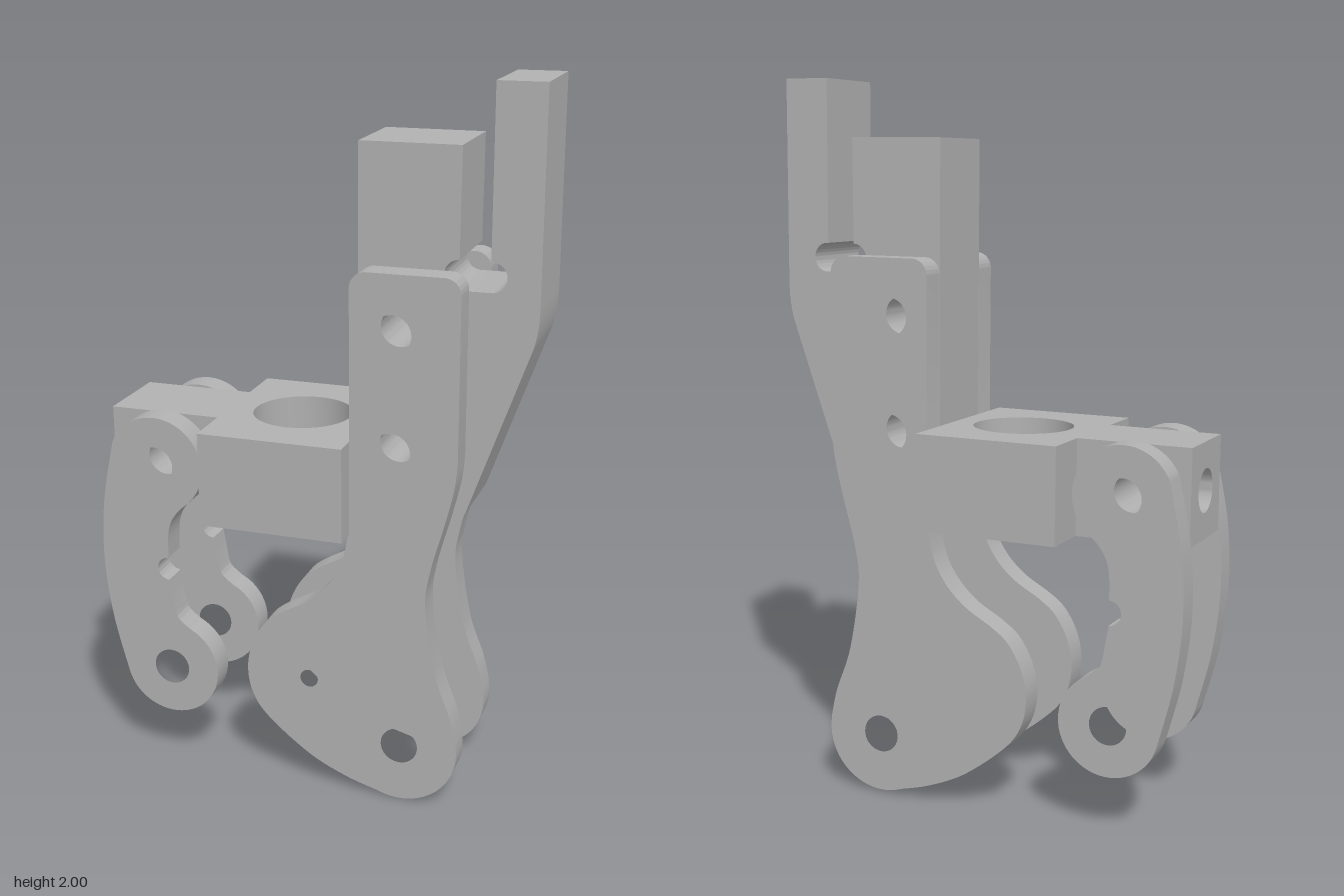
import * as THREE from 'three';
import { toCreasedNormals } from 'three/addons/utils/BufferGeometryUtils.js';

const steel = new THREE.MeshStandardMaterial({ color: 0xb0b0b0 });
steel.name = 'plain grey metal';

const INNER = 0.122; // half width of the core
const PLATE = 0.077; // side plate thickness

function addHoles(shape, holes) {
  for (const [x, y, r] of holes) {
    const path = new THREE.Path();
    path.absarc(x, y, r, 0, Math.PI * 2, true);
    shape.holes.push(path);
  }
  return shape;
}

// Extrudes a shape along z, centred on z = 0
function extrude(shape, depth) {
  const geo = new THREE.ExtrudeGeometry(shape, { depth, bevelEnabled: false, curveSegments: 20 });
  geo.translate(0, 0, -depth / 2);
  return toCreasedNormals(geo, 0.5);
}

function rect(x0, y0, x1, y1) {
  const s = new THREE.Shape();
  s.moveTo(x0, y0).lineTo(x1, y0).lineTo(x1, y1).lineTo(x0, y1).closePath();
  return s;
}

const points = (list) => list.map(([x, y]) => new THREE.Vector2(x, y));

// Long side plate: straight top, narrow waist, two-lobed foot
function plateShape() {
  const s = new THREE.Shape();
  s.moveTo(0.13, 0.82);
  s.lineTo(0.13, 1.475);
  s.absarc(0.175, 1.475, 0.045, Math.PI, Math.PI / 2, true);
  s.absarc(0.382, 1.475, 0.045, Math.PI / 2, 0, true);
  s.lineTo(0.427, 1.03);
  s.splineThru(points([[0.42, 0.96], [0.397, 0.86], [0.357, 0.71], [0.346, 0.6], [0.375, 0.41], [0.42, 0.28], [0.438, 0.2]]));
  s.absarc(0.275, 0.167, 0.165, 0.15, -1.95, true);
  s.splineThru(points([[0.12, 0.042], [0.01, 0.095], [-0.11, 0.19], [-0.16, 0.26], [-0.175, 0.34],
    [-0.16, 0.42], [-0.12, 0.49], [-0.07, 0.53], [0.01, 0.577], [0.07, 0.635], [0.11, 0.71], [0.13, 0.82]]));
  return addHoles(s, [[0.245, 1.36, 0.053], [0.245, 1.04, 0.053], [0.275, 0.17, 0.053], [0.01, 0.337, 0.026]]);
}

// Curved link with a small round notch on its inner edge
function linkShape() {
  const s = new THREE.Shape();
  s.absarc(-0.44, 0.925, 0.14, 2.7, -0.9, true);
  s.splineThru(points([[-0.376, 0.794], [-0.398, 0.76], [-0.408, 0.72], [-0.41, 0.66]]));
  s.absarc(-0.41, 0.615, 0.034, 1.57, 4.71, false);
  s.lineTo(-0.395, 0.49);
  s.splineThru(points([[-0.385, 0.462], [-0.35, 0.433]]));
  s.absarc(-0.413, 0.305, 0.143, 1.1, -2.9, true);
  s.splineThru(points([[-0.593, 0.44], [-0.613, 0.62], [-0.604, 0.8], [-0.567, 0.985]]));
  return addHoles(s, [[-0.44, 0.925, 0.053], [-0.413, 0.305, 0.053]]);
}

// Core bar with a rounded slot and a raised rear tongue
function coreShape() {
  const s = new THREE.Shape();
  s.moveTo(0.13, 0.86);
  s.lineTo(0.43, 0.86);
  s.lineTo(0.594, 1.32);
  s.quadraticCurveTo(0.612, 1.37, 0.612, 1.44);
  s.lineTo(0.612, 2);
  s.lineTo(0.482, 2);
  s.lineTo(0.482, 1.55);
  s.absarc(0.485, 1.51, 0.04, Math.PI / 2, -Math.PI / 2, true);
  s.lineTo(0.4, 1.47);
  s.absarc(0.4, 1.51, 0.04, -Math.PI / 2, -Math.PI * 1.5, true);
  s.lineTo(0.402, 1.84);
  s.lineTo(0.13, 1.84);
  s.closePath();
  return addHoles(s, [[0.245, 1.36, 0.053], [0.245, 1.04, 0.053]]);
}

export function createModel() {
  const model = new THREE.Group();
  model.name = 'bracketAssembly';
  // The whole assembly leans very slightly forward
  const body = new THREE.Group();
  body.name = 'leaningBody';
  body.rotation.x = 0.02;
  body.position.set(0, 0.002, -0.0175);
  model.add(body);

  const add = (name, geo) => {
    const mesh = new THREE.Mesh(geo, steel);
    mesh.name = name;
    body.add(mesh);
    return mesh;
  };

  add('coreBar', extrude(coreShape(), INNER * 2 - 0.004));

  // Mirrored plates and links on both sides
  const plate = extrude(plateShape(), PLATE);
  const link = extrude(linkShape(), PLATE);
  for (const [side, sign] of [['front', 1], ['back', -1]]) {
    const z = sign * (INNER + PLATE / 2);
    add(side + 'SidePlate', plate).position.z = z;
    add(side + 'Link', link).position.z = z;
  }

  // Wide block with a vertical bore
  const block = extrude(addHoles(rect(-0.28, -0.264, 0.13, 0.264), [[-0.07, 0, 0.14]]), 0.266);
  block.rotateX(-Math.PI / 2);
  add('boredBlock', block).position.y = 0.925;

  // Arm: cross-bored section, then an end section bored lengthwise
  add('linkArm', extrude(addHoles(rect(-0.5, 0.792, -0.28, 1.058), [[-0.44, 0.925, 0.053]]), INNER * 2 - 0.002));
  const end = extrude(addHoles(rect(-INNER + 0.001, -0.133, INNER - 0.001, 0.133), [[0, 0, 0.06]]), 0.1);
  end.rotateY(Math.PI / 2);
  add('armEnd', end).position.set(-0.55, 0.925, 0);

  return model;
}
